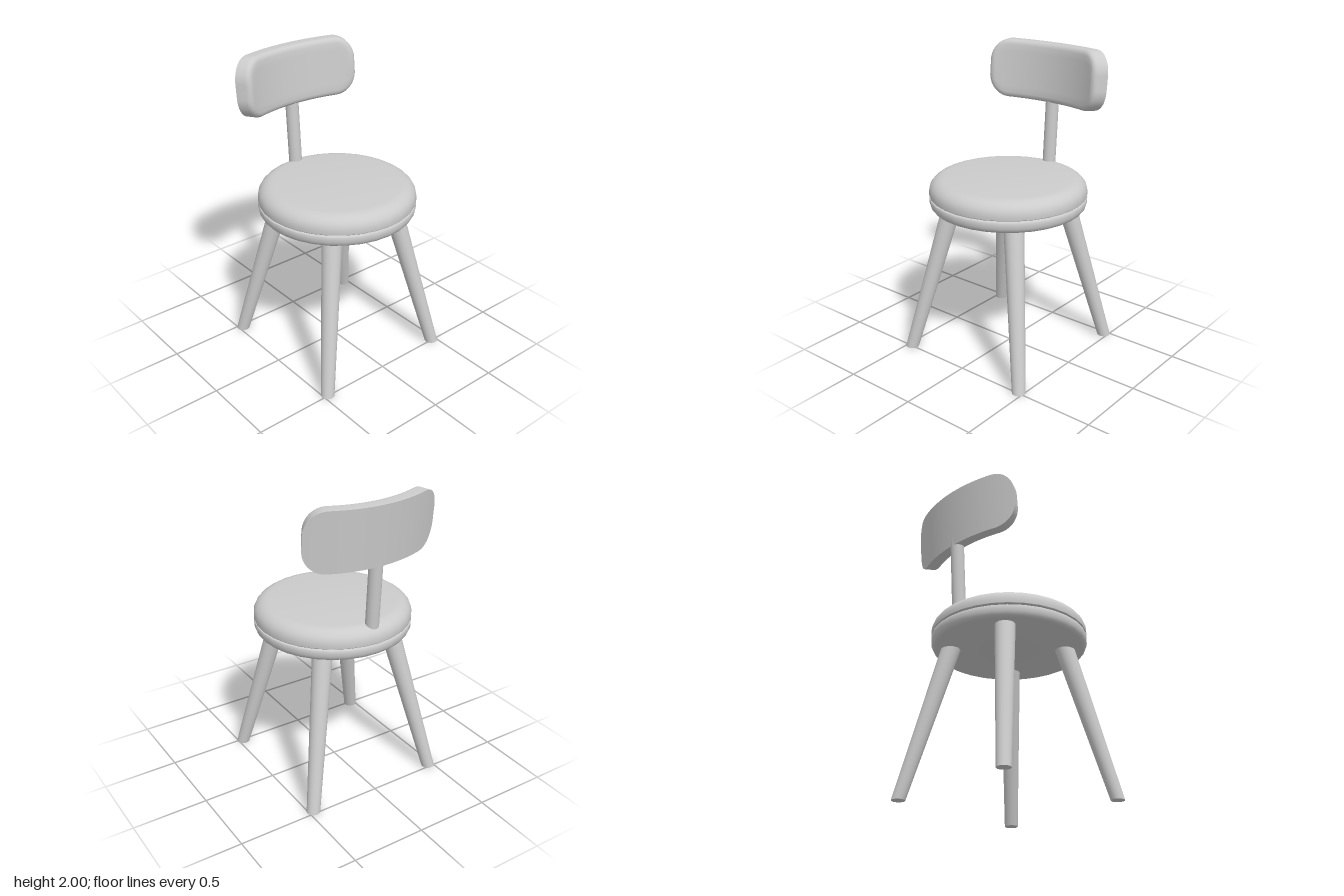
import * as THREE from 'three';
import { mergeVertices, toCreasedNormals } from 'three/addons/utils/BufferGeometryUtils.js';

const material = new THREE.MeshStandardMaterial({ color: 0xcccccc });
const SEAT_Z = 0.018;

function addMesh(group, name, geometry) {
  const mesh = new THREE.Mesh(geometry, material);
  mesh.name = name;
  group.add(mesh);
  return mesh;
}

// Round disc with elliptical fillets on its lower and upper rims.
function disc(radius, y0, y1, low, high) {
  const pts = [new THREE.Vector2(0, y0)];
  const steps = 6;
  for (let i = 0; i <= steps; i++) {
    const a = (i / steps) * Math.PI / 2;
    pts.push(new THREE.Vector2(radius - low[0] * (1 - Math.sin(a)), y0 + low[1] * (1 - Math.cos(a))));
  }
  for (let i = 0; i <= steps; i++) {
    const a = (i / steps) * Math.PI / 2;
    pts.push(new THREE.Vector2(radius - high[0] * (1 - Math.cos(a)), y1 - high[1] * (1 - Math.sin(a))));
  }
  pts.push(new THREE.Vector2(0, y1));
  return toCreasedNormals(new THREE.LatheGeometry(pts, 32), 0.7);
}

// Tapered round bar sheared between two points, so its ends stay level.
function slantedBar(bottom, top, r0, r1) {
  const h = top.y - bottom.y;
  const geo = new THREE.CylinderGeometry(r1, r0, h, 24);
  const shear = new THREE.Matrix4().set(
    1, (top.x - bottom.x) / h, 0, (top.x + bottom.x) / 2,
    0, 1, 0, (top.y + bottom.y) / 2,
    0, (top.z - bottom.z) / h, 1, (top.z + bottom.z) / 2,
    0, 0, 0, 1);
  return geo.applyMatrix4(shear);
}

// Rounded panel bent around a vertical axis, flat-edged behind and softened in front.
function backrestGeometry() {
  const R = 0.95, half = R * Math.asin(0.47 / R), hh = 0.196, corner = 0.15, thick = 0.1, bevel = 0.035;
  const inset = (s, y) => {
    const qx = Math.abs(s) - half + corner, qy = Math.abs(y) - hh + corner;
    return corner - Math.hypot(Math.max(qx, 0), Math.max(qy, 0)) - Math.min(Math.max(qx, qy), 0);
  };
  // Columns are packed towards both ends to follow the round corners.
  const columns = 48, rows = [-1, -0.985, -0.95, -0.9, -0.82, -0.6, 0, 0.6, 0.82, 0.9, 0.95, 0.985, 1];
  const n = rows.length, ring = 2 * n, pos = [], idx = [];
  for (let i = 0; i <= columns; i++) {
    const s = -half * Math.cos((i / columns) * Math.PI);
    const e = Math.max(0, Math.abs(s) - half + corner);
    const h = hh - corner + Math.sqrt(Math.max(0, corner * corner - e * e));
    const put = (y, depth) => {
      const r = R - depth, a = s / R;
      pos.push(r * Math.sin(a), y, R - r * Math.cos(a));
    };
    for (const v of rows) {
      const d = Math.min(1, Math.max(0, inset(s, v * h)) / bevel);
      put(v * h, thick - bevel + bevel * Math.sqrt(1 - (1 - d) ** 2));
    }
    for (let j = n - 1; j >= 0; j--) put(rows[j] * h, 0);
  }
  for (let i = 0; i < columns; i++) {
    for (let j = 0; j < ring; j++) {
      const a = i * ring + j, b = i * ring + (j + 1) % ring, c = a + ring, d = b + ring;
      idx.push(a, c, b, b, c, d);
    }
  }
  // End walls
  for (let j = 0; j < n - 1; j++) {
    const a = j, b = j + 1, c = ring - 1 - j, d = ring - 2 - j, o = columns * ring;
    idx.push(a, b, c, b, d, c, o + a, o + c, o + b, o + b, o + c, o + d);
  }
  const geo = new THREE.BufferGeometry();
  geo.setAttribute('position', new THREE.Float32BufferAttribute(pos, 3));
  geo.setIndex(idx);
  return toCreasedNormals(mergeVertices(geo, 1e-5), 0.7);
}

export function createModel() {
  const chair = new THREE.Group();
  chair.name = 'chair';

  // Seat: base disc and cushion with a narrow gap between them
  addMesh(chair, 'seatBase', disc(0.515, 1.01, 1.086, [0.035, 0.05], [0.005, 0.005])).position.z = SEAT_Z;
  addMesh(chair, 'seatCushion', disc(0.515, 1.095, 1.208, [0.005, 0.005], [0.1, 0.085])).position.z = SEAT_Z;

  // Four splayed, tapered legs
  for (const [side, sx] of [['left', 1], ['right', -1]]) {
    for (const [end, sz] of [['Front', 1], ['Back', -1]]) {
      const foot = new THREE.Vector3(sx * 0.467, 0, 0.008 + sz * 0.482);
      const top = new THREE.Vector3(sx * 0.255, 1.03, 0.008 + sz * 0.27);
      addMesh(chair, `${side}${end}Leg`, slantedBar(foot, top, 0.044, 0.066));
    }
  }

  // Post rising from the rear of the seat into the backrest
  addMesh(chair, 'backPost', slantedBar(
    new THREE.Vector3(0, 1.12, -0.421), new THREE.Vector3(0, 1.72, -0.459), 0.044, 0.044));

  // Curved backrest, leaning back slightly
  const backrest = addMesh(chair, 'backrest', backrestGeometry());
  backrest.position.set(0, 1.798, -0.512);
  backrest.rotation.x = -0.095;

  return chair;
}
